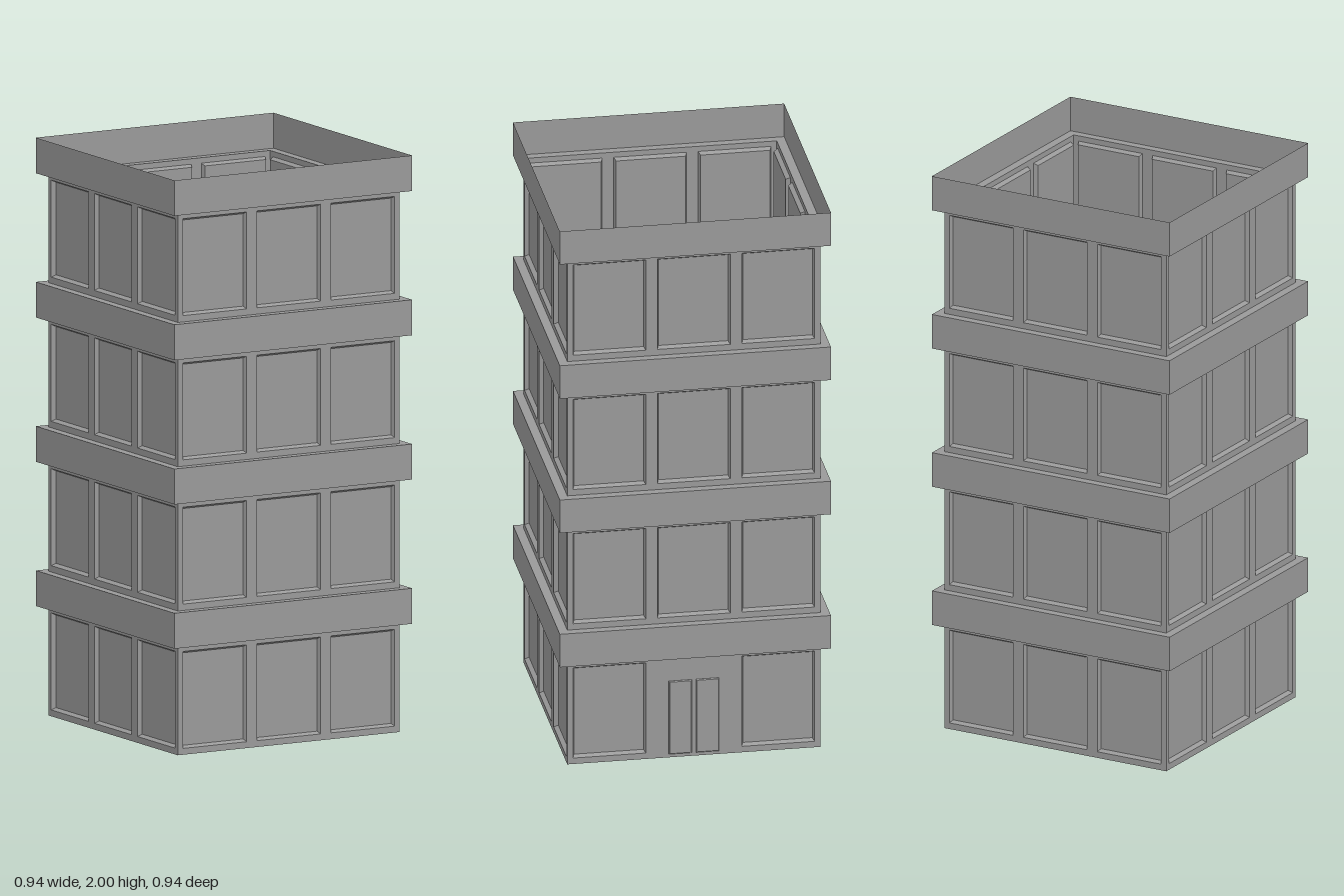
import * as THREE from 'three';

const WALL = 0.438;      // half width of the walls
const BAND = 0.469;      // half width of the projecting bands
const STOREY = 0.5, WALL_H = 0.377, STOREYS = 4;
const WIN = { w: 0.252, h: 0.336, y: 0.19, depth: 0.015, pitch: 0.292 };
const DOOR = { w: 0.074, h: 0.266, y: 0.148, gap: 0.094 };

const material = new THREE.MeshStandardMaterial({
  color: 0x999999, flatShading: true, side: THREE.DoubleSide,
});

function mesh(name, geometry) {
  const m = new THREE.Mesh(geometry, material);
  m.name = name;
  return m;
}

// Square ring or dish swept from a profile of [half width, height]
function squareSweep(profile) {
  const points = profile.map(([r, y]) => new THREE.Vector2(r * Math.SQRT2, y));
  const g = new THREE.LatheGeometry(points, 4).rotateY(Math.PI / 4).toNonIndexed();
  g.computeVertexNormals();
  return g;
}

// Rectangle outline centred on x, y
function rectangle(PathType, x, y, w, h) {
  const path = new PathType();
  path.moveTo(x - w / 2, y - h / 2).lineTo(x + w / 2, y - h / 2)
    .lineTo(x + w / 2, y + h / 2).lineTo(x - w / 2, y + h / 2).closePath();
  return path;
}

// Recessed window with sloping reveals, facing +z
function windowGeometry() {
  return squareSweep([[0.5, 0], [0.477, -WIN.depth], [0, -WIN.depth]])
    .rotateX(Math.PI / 2)
    .scale(WIN.w, WIN.h, 1);
}

// Slightly raised door leaf with a bevelled rim
function doorGeometry() {
  return new THREE.ExtrudeGeometry(rectangle(THREE.Shape, 0, 0, DOOR.w, DOOR.h), {
    depth: 0.001, bevelThickness: 0.003, bevelSize: 0.003, bevelSegments: 1,
  });
}

// One wall of one storey, with openings for its windows
function createWall(columns, pane) {
  const wall = new THREE.Group();
  const shape = rectangle(THREE.Shape, 0, WALL_H / 2, 2 * WALL, WALL_H);
  for (const c of columns) {
    const x = c * WIN.pitch;
    shape.holes.push(rectangle(THREE.Path, x, WIN.y, WIN.w, WIN.h));
    const w = mesh('window', pane);
    w.position.set(x, WIN.y, WALL);
    wall.add(w);
  }
  const panel = mesh('wallPanel', new THREE.ShapeGeometry(shape));
  panel.position.z = WALL;
  wall.add(panel);
  return wall;
}

export function createModel() {
  const model = new THREE.Group();
  model.name = 'tower';
  const pane = windowGeometry();
  const leaf = doorGeometry();
  const sides = ['front', 'left', 'back', 'right'];

  for (let s = 0; s < STOREYS; s++) {
    const storey = new THREE.Group();
    storey.name = 'storey' + (s + 1);
    storey.position.y = s * STOREY;

    // Four walls; the entrance takes the middle bay at ground level
    sides.forEach((side, i) => {
      const entrance = s === 0 && side === 'left';
      const wall = createWall(entrance ? [-1, 1] : [-1, 0, 1], pane);
      wall.name = side + 'Wall';
      wall.rotation.y = i * Math.PI / 2;
      if (entrance) {
        for (const sign of [-1, 1]) {
          const door = mesh('doorLeaf', leaf);
          door.position.set(sign * DOOR.gap / 2, DOOR.y, WALL);
          wall.add(door);
        }
      }
      storey.add(wall);
    });

    // Hollow projecting band; the top one is an open parapet
    const profile = [[WALL, WALL_H], [BAND, WALL_H], [BAND, STOREY]];
    if (s < STOREYS - 1) profile.push([WALL, STOREY]);
    storey.add(mesh(s < STOREYS - 1 ? 'band' : 'parapet', squareSweep(profile)));
    model.add(storey);
  }
  return model;
}
